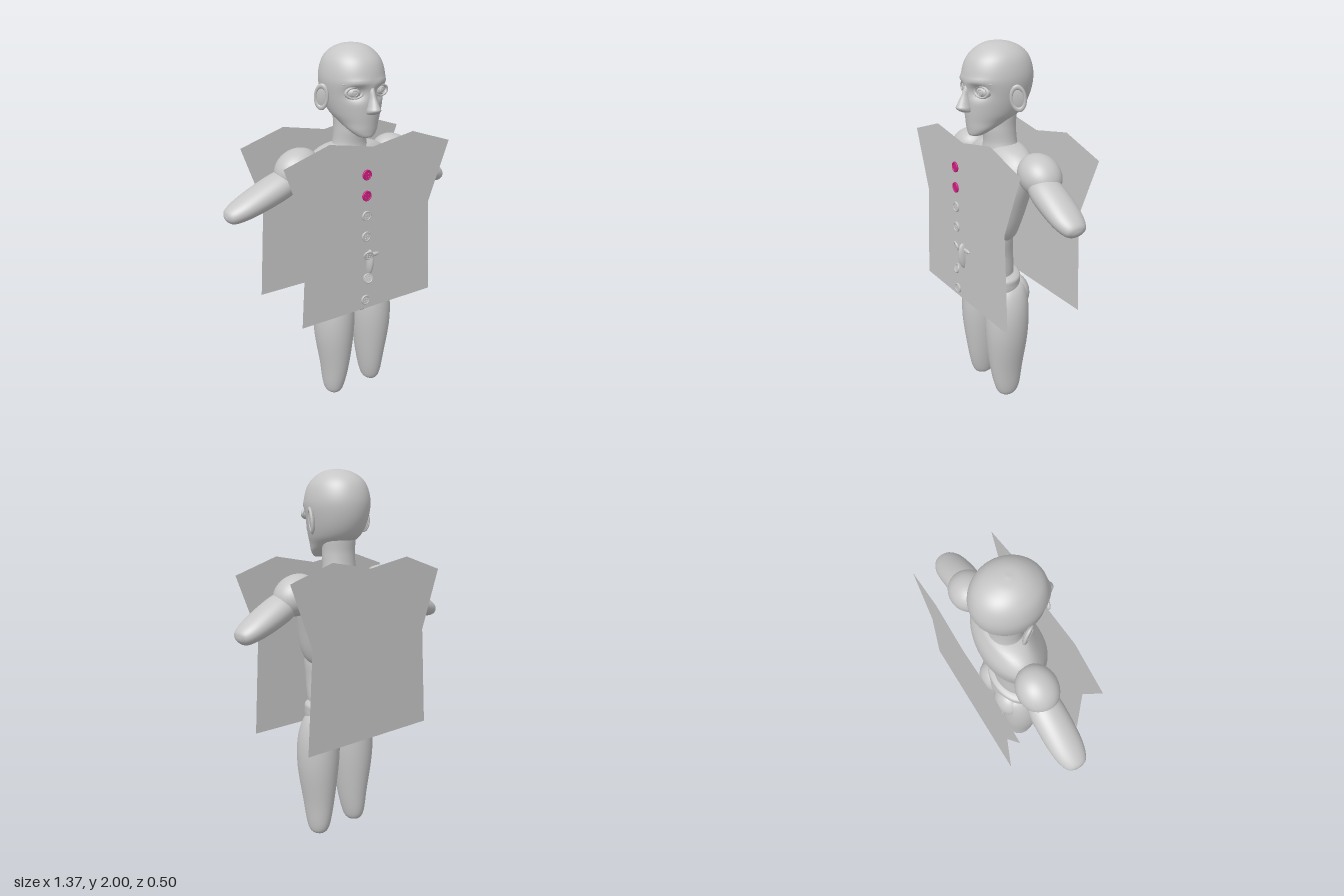
import * as THREE from 'three';

const CX = 0.034; // body centre line
const FRONT_Z = 0.206, BACK_Z = -0.25;

// Closed smooth body from sections [y, halfWidth, zFront, zBack, centreX], listed bottom to top
function loft(sections, rings = 36, sides = 40, reshape) {
  const a = new THREE.CatmullRomCurve3(sections.map(s => new THREE.Vector3(s[1], s[0], s[2])), false, 'catmullrom');
  const b = new THREE.CatmullRomCurve3(sections.map(s => new THREE.Vector3(s[4] || 0, 0, s[3])), false, 'catmullrom');
  const pos = [], idx = [], v = new THREE.Vector3();
  for (let i = 0; i <= rings; i++) {
    const p = a.getPoint(i / rings), q = b.getPoint(i / rings);
    const rx = Math.max(p.x, 0), cz = (p.z + q.z) / 2, rz = Math.max((p.z - q.z) / 2, 0);
    for (let j = 0; j < sides; j++) {
      const t = j / sides * Math.PI * 2;
      v.set(q.x + rx * Math.cos(t), p.y, cz + rz * Math.sin(t));
      if (reshape) reshape(v);
      pos.push(v.x, v.y, v.z);
      if (i < rings) {
        const k = i * sides + j, n = i * sides + (j + 1) % sides;
        idx.push(k, k + sides, n, n, k + sides, n + sides);
      }
    }
  }
  const g = new THREE.BufferGeometry();
  g.setAttribute('position', new THREE.Float32BufferAttribute(pos, 3));
  g.setIndex(idx);
  g.computeVertexNormals();
  return g;
}

export function createModel() {
  const root = new THREE.Group();
  root.name = 'figureWithShirt';
  const grey = new THREE.MeshStandardMaterial({ color: 0xc6c6c6, side: THREE.DoubleSide });
  grey.name = 'plainGrey';
  const pink = new THREE.MeshStandardMaterial({ color: 0xcc1f80 });
  pink.name = 'buttonPink';

  const add = (parent, name, geometry, material = grey) => {
    const m = new THREE.Mesh(geometry, material);
    m.name = name;
    parent.add(m);
    return m;
  };
  const ball = (parent, name, x, y, z, rx, ry, rz) => {
    const m = add(parent, name, new THREE.SphereGeometry(1, 32, 20));
    m.position.set(x, y, z);
    m.scale.set(rx, ry, rz);
    return m;
  };

  const body = new THREE.Group();
  body.name = 'body';
  body.position.x = CX;
  root.add(body);

  // Head with eye sockets and a brow ridge
  add(body, 'head', loft([
    [1.545, 0, 0.15, 0.15], [1.55, 0.04, 0.168, 0.1], [1.58, 0.075, 0.174, 0.04], [1.62, 0.1, 0.178, -0.05],
    [1.665, 0.125, 0.182, -0.125], [1.74, 0.148, 0.186, -0.168], [1.83, 0.162, 0.192, -0.183],
    [1.91, 0.147, 0.17, -0.165], [1.96, 0.112, 0.125, -0.125], [1.99, 0.06, 0.07, -0.062], [2, 0, 0.004, 0.004],
  ], 64, 64, v => {
    if (v.z < 0) return;
    const dx = Math.abs(v.x) - 0.072;
    v.z -= 0.036 * Math.exp(-(dx * dx) / 0.0014 - (v.y - 1.772) ** 2 / 0.0009);
    v.z += 0.01 * Math.exp(-(dx * dx) / 0.003 - (v.y - 1.822) ** 2 / 0.0002);
  }));
  add(body, 'nose', loft([
    [1.665, 0, 0.185, 0.185], [1.672, 0.028, 0.215, 0.16], [1.69, 0.034, 0.241, 0.16], [1.71, 0.027, 0.234, 0.16],
    [1.75, 0.016, 0.212, 0.16], [1.79, 0.015, 0.196, 0.15], [1.83, 0, 0.175, 0.175],
  ], 24, 24));

  for (const s of [-1, 1]) {
    // Eyes, lids and irises
    const eye = new THREE.Group();
    eye.name = 'eye';
    eye.position.set(s * 0.072, 1.775, 0.115);
    eye.rotation.y = s * 0.25;
    body.add(eye);
    ball(eye, 'eyeball', 0, 0, 0, 0.047, 0.036, 0.046);
    const lid = add(eye, 'eyelid', new THREE.TorusGeometry(0.044, 0.009, 10, 36));
    lid.scale.y = 0.6;
    lid.position.z = 0.034;
    const iris = add(eye, 'iris', new THREE.TorusGeometry(0.014, 0.003, 8, 24));
    iris.position.z = 0.043;
    const brow = add(body, 'eyebrow', new THREE.TubeGeometry(new THREE.CatmullRomCurve3([
      new THREE.Vector3(s * 0.022, 1.815, 0.184), new THREE.Vector3(s * 0.07, 1.826, 0.17),
      new THREE.Vector3(s * 0.125, 1.815, 0.118)]), 16, 0.007, 8));
    brow.scale.y = 1;

    // Ears, flaring out toward the back
    const ear = new THREE.Group();
    ear.name = 'ear';
    ear.position.set(s * 0.172, 1.745, -0.003);
    ear.rotation.set(0.18, -s * 0.5, 0);
    body.add(ear);
    ball(ear, 'earShell', 0, 0, 0, 0.013, 0.06, 0.036);
    const rim = add(ear, 'earRim', new THREE.TorusGeometry(0.034, 0.008, 10, 32));
    rim.rotation.y = Math.PI / 2;
    rim.scale.y = 1.65;
    rim.position.x = s * 0.006;

    // Legs
    add(body, 'leg', loft([
      [0.005, 0, 0.02, 0.02, s * 0.132], [0.018, 0.038, 0.065, -0.03, s * 0.132], [0.07, 0.058, 0.093, -0.058, s * 0.13],
      [0.2, 0.079, 0.12, -0.077, s * 0.125], [0.4, 0.108, 0.144, -0.1, s * 0.127], [0.55, 0.113, 0.143, -0.105, s * 0.124],
      [0.66, 0.095, 0.12, -0.1, s * 0.118], [0.72, 0.06, 0.075, -0.075, s * 0.112], [0.74, 0, 0, 0, s * 0.11],
    ]));
    ball(body, 'buttock', s * 0.085, 0.64, -0.05, 0.1, 0.105, 0.084);
  }

  add(body, 'neck', loft([
    [1.4, 0, -0.02, -0.02], [1.41, 0.11, 0.075, -0.11], [1.5, 0.092, 0.072, -0.098],
    [1.58, 0.088, 0.078, -0.092], [1.7, 0.085, 0.07, -0.09], [1.72, 0, 0, 0],
  ]));
  add(body, 'chest', loft([
    [0.957, 0, 0.03, 0.03], [0.967, 0.1, 0.11, -0.045], [1.0, 0.155, 0.165, -0.08], [1.07, 0.188, 0.197, -0.105],
    [1.18, 0.215, 0.198, -0.138], [1.31, 0.245, 0.167, -0.16], [1.39, 0.25, 0.122, -0.156],
    [1.45, 0.21, 0.082, -0.13], [1.485, 0.13, 0.05, -0.1], [1.5, 0, -0.02, -0.02],
  ]));
  add(body, 'waist', loft([
    [0.7, 0, 0.05, 0.05], [0.71, 0.13, 0.14, -0.06], [0.78, 0.15, 0.165, -0.07], [0.9, 0.148, 0.188, -0.066],
    [1.0, 0.15, 0.195, -0.066], [1.07, 0.13, 0.17, -0.06], [1.08, 0, 0.05, 0.05],
  ]));
  add(body, 'pelvis', loft([
    [0.535, 0, 0.06, 0.06], [0.55, 0.045, 0.12, -0.01], [0.6, 0.11, 0.154, -0.075], [0.66, 0.17, 0.163, -0.105],
    [0.73, 0.185, 0.16, -0.1], [0.775, 0.165, 0.14, -0.085], [0.79, 0, 0.04, 0.04],
  ]));

  // Arms: rounded shoulder and a tapering forearm that ends in a blunt tip
  const arms = [
    { s: 1, shoulder: [0.345, 1.385, -0.042], from: [0.345, 1.37], to: [0.68, 1.195], z: -0.024 },
    { s: -1, shoulder: [-0.28, 1.39, -0.025], from: [-0.27, 1.358], to: [-0.685, 1.195], z: -0.032 },
  ];
  for (const { s, shoulder, from, to, z } of arms) {
    const dx = to[0] - from[0], dy = to[1] - from[1], L = Math.hypot(dx, dy);
    const sh = ball(root, 'shoulder', ...shoulder, 0.125, 0.1, 0.107);
    sh.rotation.z = -s * 0.45;
    const arm = add(root, 'arm', loft([
      [0, 0, 0, 0], [0.02, 0.05, 0.06, -0.06], [L * 0.2, 0.07, 0.085, -0.085], [L * 0.45, 0.07, 0.09, -0.09],
      [L * 0.75, 0.058, 0.083, -0.083], [L * 0.93, 0.042, 0.06, -0.06], [L * 0.985, 0.02, 0.03, -0.03], [L, 0, 0, 0],
    ]));
    arm.position.set(from[0], from[1], z);
    arm.rotation.z = Math.atan2(dy, dx) - Math.PI / 2;
  }

  // Flat shirt panels: one whole back, two front halves meeting at the opening
  const rightEdge = [[-0.23, 1.556], [-0.483, 1.474], [-0.367, 1.15], [-0.404, 0.61]];
  const leftEdge = [[0.443, 0.61], [0.41, 1.15], [0.536, 1.474], [0.282, 1.556]];
  const top = [0.03, 1.511], hem = [0.02, 0.61];
  const panel = (name, points, z) => {
    const shape = new THREE.Shape(points.map(p => new THREE.Vector2(...p)));
    add(root, name, new THREE.ShapeGeometry(shape)).position.z = z;
  };
  panel('shirtBack', [top, ...rightEdge, ...leftEdge], BACK_Z);
  panel('shirtFrontRight', [top, ...rightEdge, hem], FRONT_Z);
  panel('shirtFrontLeft', [top, hem, ...leftEdge], FRONT_Z);
  ball(root, 'clothFold', 0.015, 0.88, FRONT_Z, 0.018, 0.075, 0.032).rotation.x = 0.1;
  ball(root, 'clothCrease', 0.045, 0.92, FRONT_Z, 0.035, 0.012, 0.01);

  // Four-hole buttons
  const disc = new THREE.Shape().absarc(0, 0, 0.027, 0, Math.PI * 2);
  for (const x of [-0.007, 0.007]) for (const y of [-0.007, 0.007])
    disc.holes.push(new THREE.Path().absarc(x, y, 0.0035, 0, Math.PI * 2, true));
  const discGeo = new THREE.ExtrudeGeometry(disc, { depth: 0.006, bevelEnabled: false, curveSegments: 24 });
  const rimGeo = new THREE.TorusGeometry(0.0235, 0.004, 8, 32);
  [1.376, 1.265, 1.157, 1.043, 0.937, 0.802, 0.675].forEach((y, i) => {
    const button = new THREE.Group(), loose = i === 4 || i === 5;
    button.name = 'button';
    button.position.set(loose ? -0.01 : -0.02, y, loose ? 0.231 : 0.223);
    if (loose) button.rotation.set(i === 4 ? 0.3 : -0.3, -0.2, 0);
    const material = i < 2 ? pink : grey;
    add(button, 'buttonDisc', discGeo, material);
    add(button, 'buttonRim', rimGeo, material).position.z = 0.005;
    root.add(button);
  });

  return root;
}
